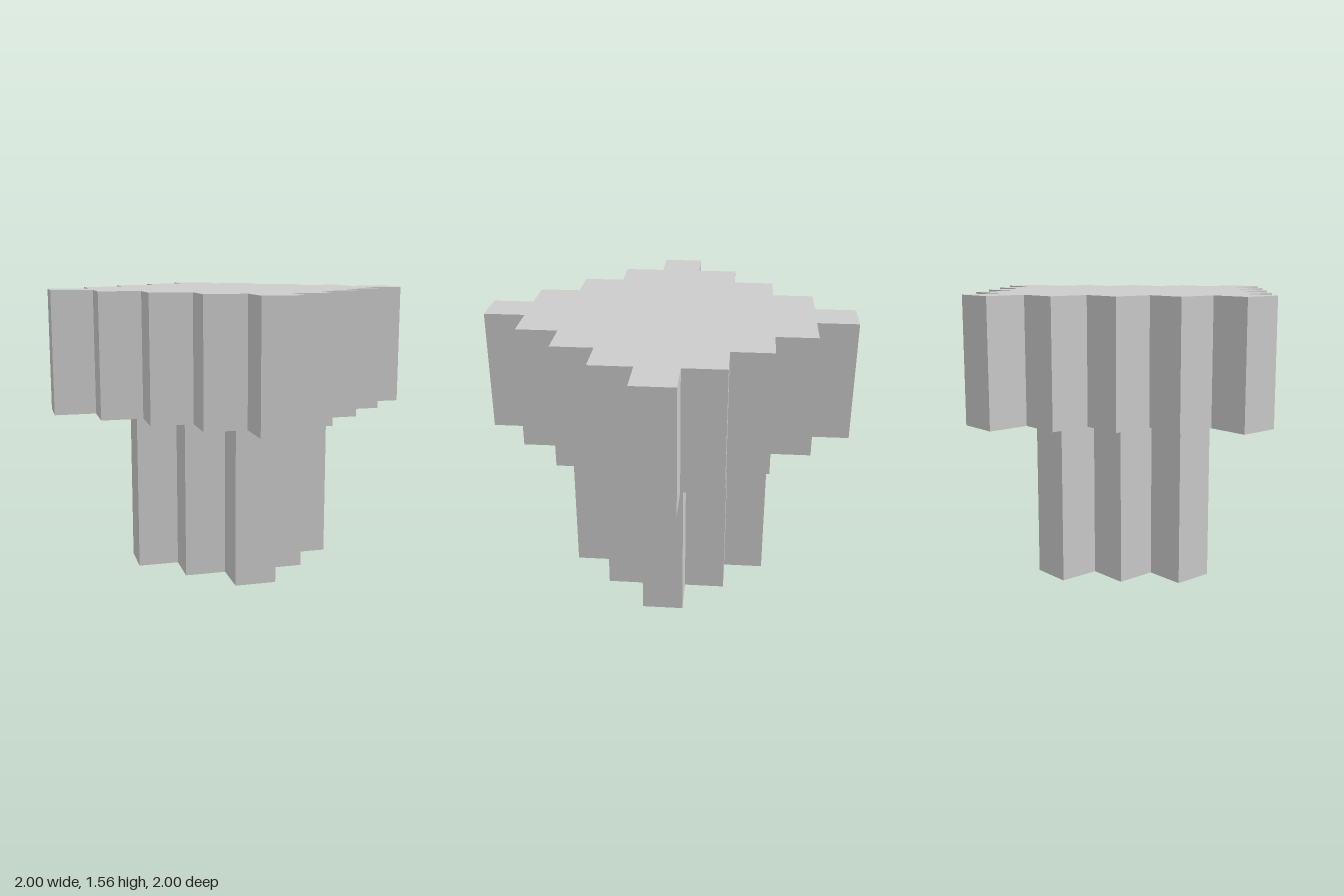
import * as THREE from 'three';

const UNIT = 2 / 9; // edge length of one grid cell

// Stepped diamond outline reaching `r` cells out from the centre cell
function steppedDiamond(r) {
  const quarter = [[r + 0.5, -0.5]];
  for (let i = 0; i < r; i++) {
    quarter.push([r + 0.5 - i, i + 0.5], [r - 0.5 - i, i + 0.5]);
  }
  const points = [];
  for (let q = 0; q < 4; q++) {
    for (const [x, y] of quarter) {
      points.push(new THREE.Vector2(x, y).multiplyScalar(UNIT));
    }
    // turn the quarter by 90 degrees for the next side
    quarter.forEach((p, i) => { quarter[i] = [-p[1], p[0]]; });
  }
  return new THREE.Shape(points);
}

// Upright prism over a stepped diamond, measured in cells
function steppedPrism(name, r, bottom, height, material) {
  const geometry = new THREE.ExtrudeGeometry(steppedDiamond(r), {
    depth: height * UNIT,
    bevelEnabled: false,
  });
  geometry.rotateX(-Math.PI / 2);
  geometry.translate(0, bottom * UNIT, 0);
  const mesh = new THREE.Mesh(geometry, material);
  mesh.name = name;
  return mesh;
}

export function createModel() {
  const group = new THREE.Group();
  group.name = 'steppedPillar';
  const material = new THREE.MeshStandardMaterial({ color: 0xcccccc, flatShading: true });

  // Narrow stem below, wide cap on top
  group.add(steppedPrism('stem', 2, 0, 4, material));
  group.add(steppedPrism('cap', 4, 4, 3, material));
  return group;
}
